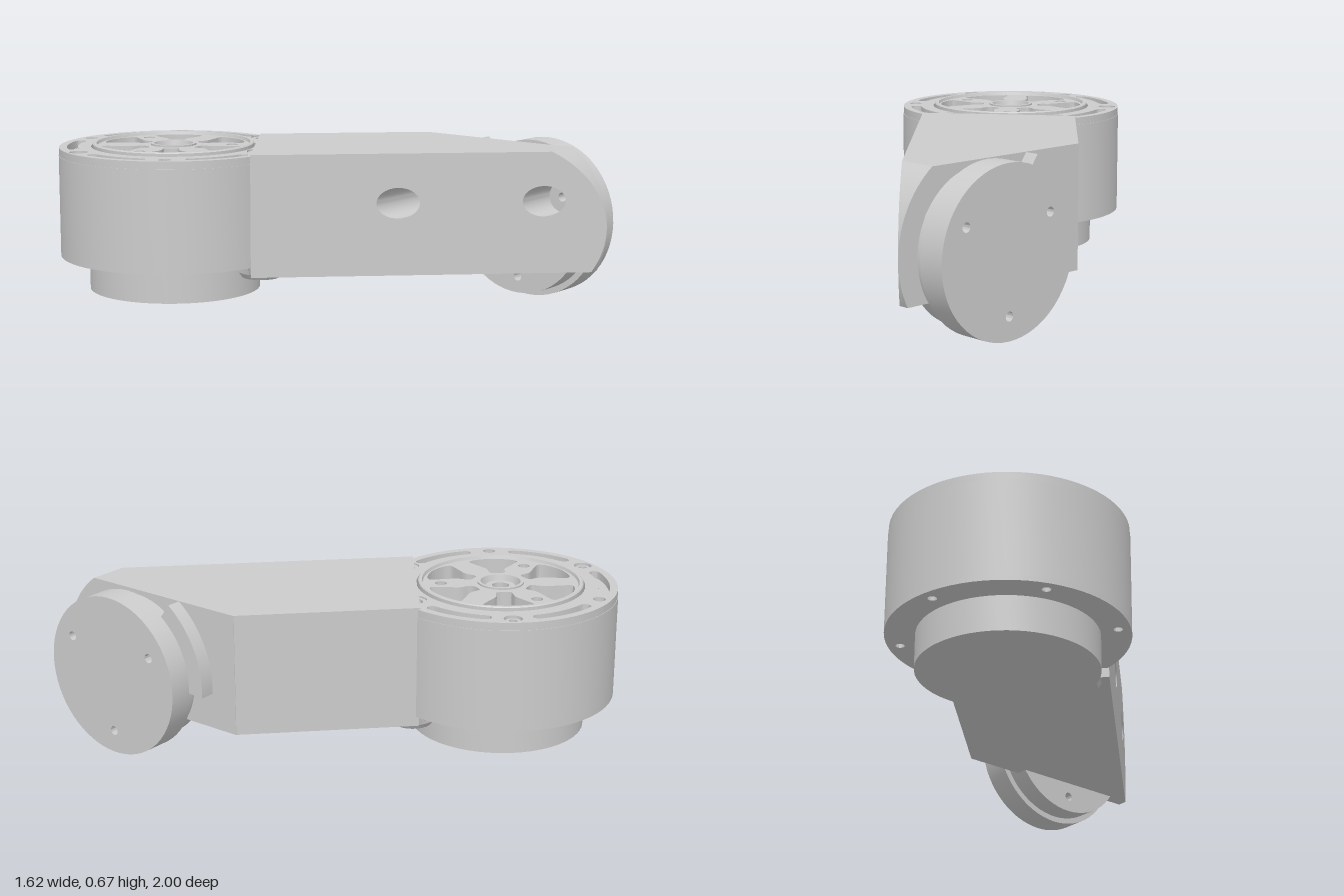
import * as THREE from 'three';
import { toCreasedNormals } from 'three/addons/utils/BufferGeometryUtils.js';

const material = new THREE.MeshStandardMaterial({ color: 0xcccccc });
const CX = -0.335, CZ = -0.52;            // axis of the joint housing
const DY = 0.335, DZ = 0.595;             // axis of the end disc
const rad = THREE.MathUtils.degToRad;
const boltAngles = [20, 80, 140, 200, 260, 320];

function mesh(name, geometry, parent) {
  const m = new THREE.Mesh(toCreasedNormals(geometry, 0.5), material);
  m.name = name;
  parent.add(m);
  return m;
}

// Polar point in a plan shape (shape y is -z)
const polar = (r, deg) => new THREE.Vector2(r * Math.cos(rad(deg)), -r * Math.sin(rad(deg)));

function circle(x, y, r) {
  const p = new THREE.Path();
  p.absarc(x, y, r, 0, Math.PI * 2);
  return p;
}

function disc(r) {
  const s = new THREE.Shape();
  s.absarc(0, 0, r, 0, Math.PI * 2);
  return s;
}

// Upright extrusion of a plan shape between two heights
function slab(shape, y0, y1, segments = 32) {
  return new THREE.ExtrudeGeometry(shape, { depth: y1 - y0, bevelEnabled: false, curveSegments: segments })
    .rotateX(-Math.PI / 2).translate(0, y0, 0);
}

// Extrusion along x of a side shape (shape x is -z)
function sideSlab(shape, x0, x1, segments = 32) {
  return new THREE.ExtrudeGeometry(shape, { depth: x1 - x0, bevelEnabled: false, curveSegments: segments })
    .rotateY(Math.PI / 2).translate(x0, 0, 0);
}

function lathe(points, segments = 64) {
  return new THREE.LatheGeometry(points.map(([r, y]) => new THREE.Vector2(r, y)), segments);
}

function arcSlot(r0, r1, a0, a1) {
  const pts = [], n = 12, cap = 6, mid = (r0 + r1) / 2, half = (r1 - r0) / 2;
  for (let i = 0; i <= n; i++) pts.push(polar(r1, a0 + (a1 - a0) * i / n));
  for (let i = 1; i < cap; i++) {
    const t = Math.PI * i / cap;
    pts.push(polar(mid + half * Math.cos(t), a1 + 3 * Math.sin(t)));
  }
  for (let i = 0; i <= n; i++) pts.push(polar(r0, a1 + (a0 - a1) * i / n));
  for (let i = 1; i < cap; i++) {
    const t = Math.PI * i / cap;
    pts.push(polar(mid - half * Math.cos(t), a0 - 3 * Math.sin(t)));
  }
  return new THREE.Path(pts);
}

function buildHousing() {
  const g = new THREE.Group();
  g.name = 'jointHousing';
  g.position.set(CX, 0, CZ);

  mesh('housingBody', lathe([[0, 0.22], [0.48, 0.22], [0.48, 0.625], [0.345, 0.625], [0.345, 0.5], [0, 0.5]], 72), g);

  // Top ring with bolt holes and curved slots
  const top = disc(0.478);
  top.holes.push(circle(0, 0, 0.345));
  boltAngles.forEach((a) => {
    const p = polar(0.43, a);
    top.holes.push(circle(p.x, p.y, a === 140 || a === 260 ? 0.026 : 0.037));
    if (a !== 20) top.holes.push(arcSlot(0.4, 0.445, a + 14, a + 46));
  });
  mesh('topRing', slab(top, 0.625, 0.657, 36), g);

  // Bottom ring with small fixing holes
  const bottom = disc(0.48);
  bottom.holes.push(circle(0, 0, 0.34));
  boltAngles.slice(2).forEach((a) => {
    const p = polar(0.43, a);
    bottom.holes.push(circle(p.x, p.y, 0.018));
  });
  mesh('bottomRing', slab(bottom, 0.2, 0.22, 36), g);
  mesh('lowerDisc', lathe([[0, 0.055], [0.36, 0.055], [0.36, 0.225], [0, 0.225]]), g);

  // Rotor face: six flared pockets, three screw holes, centre bore
  const rotor = disc(0.335);
  rotor.holes.push(circle(0, 0, 0.09));
  const petal = [[0.295, -20], [0.312, 0], [0.295, 20], [0.24, 18], [0.18, 12], [0.13, 13], [0.12, 0], [0.13, -13], [0.18, -12], [0.24, -18]];
  boltAngles.forEach((a) => {
    const curve = new THREE.CatmullRomCurve3(petal.map(([r, d]) => {
      const p = polar(r, a + d);
      return new THREE.Vector3(p.x, p.y, 0);
    }), true);
    rotor.holes.push(new THREE.Path(curve.getPoints(40).slice(0, -1).map((p) => new THREE.Vector2(p.x, p.y))));
  });
  [50, 170, 290].forEach((a) => {
    const p = polar(0.245, a);
    rotor.holes.push(circle(p.x, p.y, 0.024));
  });
  mesh('rotorFace', slab(rotor, 0.49, 0.66), g);
  mesh('rotorRim', lathe([[0.318, 0.655], [0.338, 0.655], [0.338, 0.668], [0.334, 0.672], [0.322, 0.672], [0.318, 0.66]]), g);
  mesh('rotorHub', lathe([[0.095, 0.64], [0.095, 0.667], [0.082, 0.667], [0.072, 0.625], [0.06, 0.625], [0.06, 0.648],
    [0.035, 0.648], [0.035, 0.56], [0, 0.56]], 48), g);

  // Screw heads and underside bosses
  [20, 80, 200, 320].forEach((a) => {
    const p = polar(0.43, a);
    const s = mesh('screwHead', lathe([[0.03, 0.62], [0.03, 0.648], [0.017, 0.648], [0.017, 0.632], [0, 0.632]], 24), g);
    s.position.set(p.x, 0, -p.y);
    if (a > 80) return;
    const b = mesh('underBoss', lathe([[0.05, 0.175], [0.05, 0.14], [0.08, 0.14], [0.095, 0.162]], 32), g);
    b.position.set(p.x, 0, -p.y);
  });
  return g;
}

function buildArm() {
  const g = new THREE.Group();
  g.name = 'arm';
  const y0 = 0.16, y1 = 0.664, split = 0.07;

  // Root block meeting the housing along a chord
  const root = new THREE.Shape([[-0.385, 0.04], [split - 0.345, -split], [0.65, -split], [0.13, 0.45]]
    .map(([x, y]) => new THREE.Vector2(x, y)));
  [20, 80].forEach((a) => {
    const p = polar(0.43, a);
    root.holes.push(circle(CX + p.x, p.y - CZ, 0.054));
  });
  mesh('armRoot', slab(root, y0, y1, 20), g);

  // Outer block: rounded side profile, with its front cut back at 45 degrees
  const R = 0.4, arc = [], a0 = Math.asin((y0 - 0.34) / R), a1 = Math.asin((y1 - 0.34) / R);
  for (let i = 0; i <= 24; i++) {
    const a = a0 + (a1 - a0) * i / 24;
    arc.push(new THREE.Vector2(-0.596 - R * Math.cos(a), 0.34 + R * Math.sin(a)));
  }
  const side = new THREE.Shape([new THREE.Vector2(-split, y0), ...arc, new THREE.Vector2(-split, y1)]);
  [0.385, 0.81].forEach((z) => side.holes.push(circle(-z, 0.46, 0.063)));
  const outer = sideSlab(side, 0, 1, 20);
  const pos = outer.attributes.position;
  for (let i = 0; i < pos.count; i++) {
    pos.setX(i, pos.getX(i) > 0.5 ? 0.652 : Math.min(pos.getZ(i) - 0.345, 0.651));
  }
  mesh('armOuter', outer, g);
  return g;
}

function buildEndDisc() {
  const g = new THREE.Group();
  g.name = 'endDisc';
  g.position.set(0, DY, DZ);
  const drilled = (r) => {
    const s = disc(r);
    [[0.21, 0.125], [-0.215, 0.125], [0, -0.24]].forEach(([x, y]) => s.holes.push(circle(x, y, 0.019)));
    return s;
  };
  mesh('discHub', sideSlab(drilled(0.31), 0.6, 0.7), g);
  mesh('discPlate', sideSlab(drilled(0.335), 0.695, 0.81), g);

  // Partial ring acting as a rotation stop
  const stop = new THREE.Shape();
  stop.absarc(0, 0, 0.405, rad(-4), rad(54), false);
  stop.absarc(0, 0, 0.3, rad(54), rad(-4), true);
  mesh('stopSector', sideSlab(stop, 0.645, 0.714), g);
  return g;
}

export function createModel() {
  const model = new THREE.Group();
  model.name = 'robotArmLink';
  model.add(buildHousing(), buildArm(), buildEndDisc());
  return model;
}
